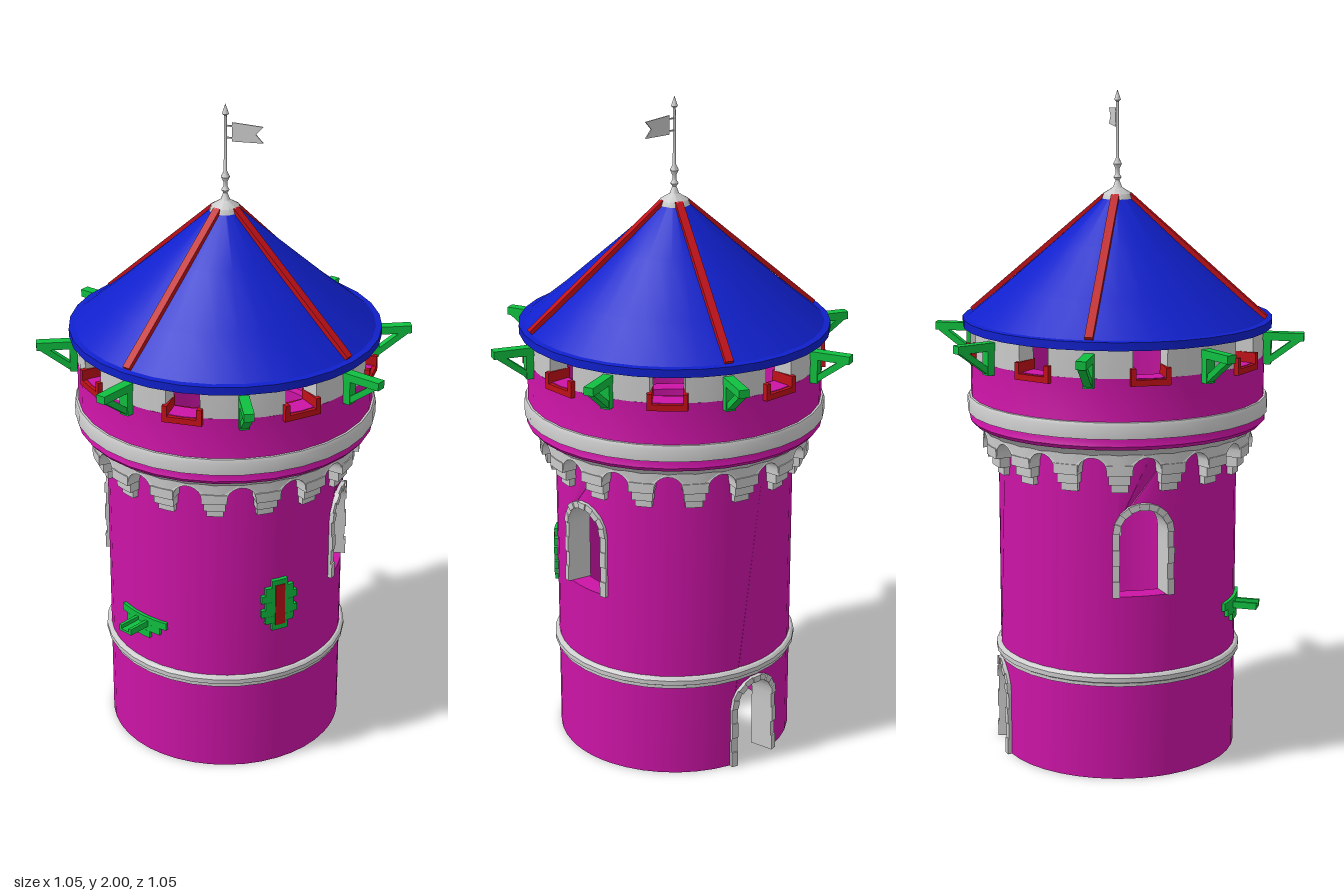
import * as THREE from 'three';
import { mergeGeometries, toCreasedNormals } from 'three/addons/utils/BufferGeometryUtils.js';

const R = 0.36;          // outer radius of the tower wall
const SEG = 32;
const mat = (color) => new THREE.MeshStandardMaterial({ color });

// Wraps a flat geometry (x along the wall, z outwards) around the tower at azimuth az
function bend(geo, az) {
  const g = geo.index ? geo.toNonIndexed() : geo;
  const p = g.attributes.position;
  for (let i = 0; i < p.count; i++) {
    const a = az + p.getX(i) / R, r = R + p.getZ(i);
    p.setXYZ(i, r * Math.sin(a), p.getY(i), r * Math.cos(a));
  }
  return g;
}

// Curved block centred on x, from y0 to y1 and radial offset z0 to z1
function block(az, x, w, y0, y1, z0, z1, segs = 2) {
  const g = new THREE.BoxGeometry(w, y1 - y0, z1 - z0, segs, 1, 1);
  g.translate(x, (y0 + y1) / 2, (z0 + z1) / 2);
  return bend(g, az);
}

function extrude(points, z0, z1, az) {
  const shape = new THREE.Shape(points.map(([x, y]) => new THREE.Vector2(x, y)));
  const g = new THREE.ExtrudeGeometry(shape, { depth: z1 - z0, bevelEnabled: false });
  g.translate(0, 0, z0);
  return bend(g, az);
}

// Wall panel with a round-headed opening cut from its lower edge
function archPanel(az, w, hw, y0, spring, top, z0, z1) {
  const pts = [[-w, y0], [-hw, y0]];
  for (let i = 0; i <= 10; i++) {
    const t = Math.PI * (1 - i / 10);
    pts.push([hw * Math.cos(t), spring + hw * Math.sin(t)]);
  }
  pts.push([hw, y0], [w, y0]);
  for (let i = 0; i <= 6; i++) pts.push([w - (2 * w * i) / 6, top]);
  return extrude(pts, z0, z1, az);
}

// Separate stones around a round-headed opening
function archStones(az, y0, spring, inner, outer) {
  const out = [], jambs = 4, ring = 9;
  const proud = (i) => (i % 2 ? 0.009 : 0.013);
  for (let i = 0; i < jambs; i++) {
    const h = (spring - y0) / jambs;
    for (const s of [-1, 1]) {
      out.push(block(az, (s * (inner + outer)) / 2, outer - inner,
        y0 + h * i, y0 + h * (i + 1), -0.063, proud(i), 1));
    }
  }
  for (let i = 0; i < ring; i++) {
    const a = (Math.PI * i) / ring, b = (Math.PI * (i + 1)) / ring;
    const at = (r, t) => [r * Math.cos(t), spring + r * Math.sin(t)];
    out.push(extrude([at(inner, a), at(outer, a), at(outer, b), at(inner, b)], -0.063, proud(i), az));
  }
  return out;
}

const lathe = (pts, segs = SEG) =>
  new THREE.LatheGeometry(pts.map(([r, y]) => new THREE.Vector2(r, y)), segs);

// Straight bar in a radial plane from (r0, y0) to (r1, y1)
function bar(az, r0, y0, r1, y1, w, t) {
  const g = new THREE.BoxGeometry(w, t, Math.hypot(r1 - r0, y1 - y0));
  g.rotateX(-Math.atan2(y1 - y0, r1 - r0));
  g.translate(0, (y0 + y1) / 2, (r0 + r1) / 2);
  g.rotateY(az);
  return g.toNonIndexed();
}

export function createModel() {
  const tower = new THREE.Group();
  tower.name = 'tower';
  const grey = mat(0xcccccc), magenta = mat(0xcc14a6), blue = mat(0x1020cc);
  const green = mat(0x10c040), red = mat(0xc01018);
  const add = (name, geos, material, crease = 0.5) => {
    const g = Array.isArray(geos) ? mergeGeometries(geos) : geos;
    const mesh = new THREE.Mesh(toCreasedNormals(g, crease), material);
    mesh.name = name;
    tower.add(mesh);
  };
  const P = Math.PI, W = 0.09, TOP = 1.0;

  // Hollow round wall: solid stretches, two windows and a back door
  const wall = [], half = W / R;
  for (const [a, b] of [[-P / 2, P / 2], [P / 2, P], [P, 1.5 * P]]) {
    const span = b - a - 2 * half;
    wall.push(block((a + b) / 2, 0, span * R, 0, TOP, -0.06, 0, Math.round(span * 7)));
  }
  for (const az of [-P / 2, P / 2]) {
    wall.push(block(az, 0, 2 * W, 0, 0.563, -0.06, 0, 6));
    wall.push(archPanel(az, W, 0.08, 0.563, 0.754, TOP, -0.06, 0));
    add('windowFrame', archStones(az, 0.563, 0.754, 0.07, 0.09), grey);
  }
  wall.push(archPanel(P, W, 0.08, 0, 0.195, TOP, -0.06, 0));
  add('towerWall', wall, magenta);
  add('doorFrame', archStones(P, 0, 0.195, 0.07, 0.09), grey);

  // Lower string course
  add('lowerBand', lathe([[0.35, 0.285], [0.367, 0.29], [0.367, 0.3], [0.374, 0.304],
    [0.374, 0.318], [0.367, 0.325], [0.35, 0.33]]), grey);

  // Stepped corbels with small arches between them
  const corbels = [], step = P / 8;
  for (let i = 0; i < 16; i++) {
    const az = i * step;
    corbels.push(archPanel(az, (step * R) / 2, 0.037, 0.945, 0.95, 1.0, -0.005, 0.045));
    corbels.push(block(az + step / 2, 0, 0.066, 0.935, 0.965, -0.005, 0.048));
    corbels.push(block(az + step / 2, 0, 0.058, 0.905, 0.935, -0.005, 0.033));
    corbels.push(block(az + step / 2, 0, 0.048, 0.88, 0.905, -0.005, 0.018));
  }
  add('corbels', corbels, grey);

  // Projecting gallery and its mouldings
  add('cornice', lathe([[0.3, 0.995], [0.405, 0.995], [0.412, 1.005], [0.436, 1.02], [0.3, 1.02]]), grey);
  add('galleryWall', lathe([[0.3, 1.018], [0.436, 1.018], [0.446, 1.03], [0.441, 1.045], [0.441, 1.225],
    [0.38, 1.225], [0.38, 1.04], [0.3, 1.04], [0.3, 1.018]]), magenta);
  add('galleryBand', lathe([[0.43, 1.05], [0.452, 1.053], [0.452, 1.09], [0.447, 1.1], [0.43, 1.102]]), grey);

  // Merlons, red-lined openings and timber brackets
  const merlons = [], linings = [], brackets = [];
  const gap = 0.05 / 0.44;
  for (let i = 0; i < 8; i++) {
    const az = (i * P) / 4, mid = az + P / 8;
    merlons.push(block(mid, 0, (P / 4 - 2 * gap) * R, 1.225, 1.312, 0.02, 0.08, 4));
    linings.push(bar(az, 0.37, 1.214, 0.45, 1.214, 0.116, 0.018));
    for (const s of [-1, 1]) {
      const side = bar(0, 0.37, 1.238, 0.45, 1.238, 0.015, 0.034);
      side.translate(s * 0.0505, 0, 0);
      side.rotateY(az);
      linings.push(side);
    }
    brackets.push(bar(mid, 0.39, 1.284, 0.56, 1.284, 0.03, 0.024));
    brackets.push(bar(mid, 0.452, 1.2, 0.452, 1.29, 0.03, 0.022));
    brackets.push(bar(mid, 0.455, 1.21, 0.545, 1.278, 0.024, 0.018));
  }
  add('merlons', merlons, grey);
  add('openingLinings', linings, red);
  add('brackets', brackets, green);

  // Conical roof shell with eave rim and four ridge strips
  add('roof', lathe([[0.02, 1.665], [0.425, 1.308], [0.463, 1.308], [0.463, 1.332], [0.445, 1.334],
    [0.33, 1.428], [0.18, 1.56], [0.03, 1.695], [0.02, 1.665]]), blue);
  add('roofRidges', [0, 1, 2, 3].map((i) =>
    bar(-P / 8 + (i * P) / 2, 0.035, 1.693, 0.446, 1.338, 0.024, 0.014)), red);

  // Finial, pole and swallow-tailed flag
  add('finial', lathe([[0, 1.682], [0.047, 1.682], [0.042, 1.697], [0.014, 1.714], [0.006, 1.735],
    [0.012, 1.744], [0.006, 1.754], [0.006, 1.768], [0.013, 1.783], [0.005, 1.8], [0.004, 1.965],
    [0.01, 1.97], [0, 2.0]], 12), grey, 0.7);
  const flagShape = new THREE.Shape([[0.02, 1.89], [0.112, 1.892], [0.09, 1.916], [0.112, 1.94],
    [0.02, 1.946]].map(([x, y]) => new THREE.Vector2(x, y)));
  const flag = new THREE.ExtrudeGeometry(flagShape, { depth: 0.004, bevelEnabled: false });
  flag.translate(0, 0, -0.002);
  add('flag', flag, grey);
  const ties = [1.9, 1.935].map((y) => new THREE.BoxGeometry(0.024, 0.004, 0.004).translate(0.01, y, 0));
  add('flagTies', ties, grey);

  // Arrow slit with a toothed stone surround
  const slitAz = 0.73;
  add('slitSurround', [0.05, 0.09, 0.115, 0.09, 0.115, 0.09, 0.05].map((w, i) =>
    block(slitAz, 0, w, 0.475 + i * 0.0243, 0.475 + (i + 1) * 0.0243, -0.02, 0.012)), green);
  add('slit', block(slitAz, 0, 0.03, 0.492, 0.628, -0.02, 0.014), red);

  // Drain spout on stepped stones
  const spoutAz = -0.477;
  const spout = [[0.18, 0.461, 0.485], [0.135, 0.438, 0.461], [0.06, 0.415, 0.438]].map(([w, y0, y1]) =>
    block(spoutAz, 0, w, y0, y1, -0.02, 0.01, 4));
  spout.push(bar(spoutAz, 0.35, 0.457, 0.44, 0.457, 0.045, 0.008));
  for (const s of [-1, 1]) {
    const lip = bar(0, 0.35, 0.463, 0.44, 0.463, 0.01, 0.02);
    lip.translate(s * 0.02, 0, 0);
    lip.rotateY(spoutAz);
    spout.push(lip);
  }
  add('drainSpout', spout, green);

  return tower;
}
